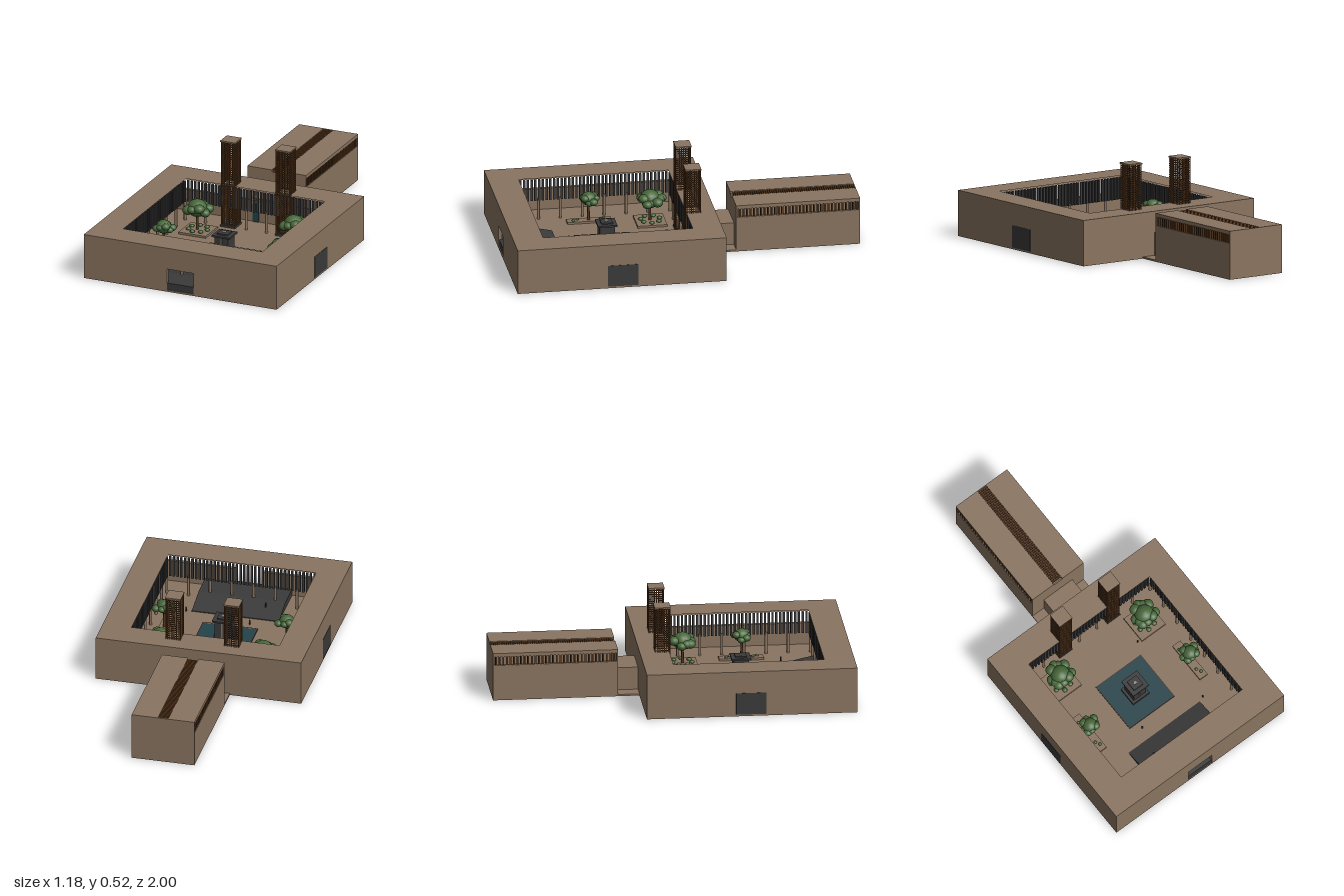
import * as THREE from 'three';
import { mergeGeometries } from 'three/addons/utils/BufferGeometryUtils.js';

const mat = (name, color) => {
  const m = new THREE.MeshStandardMaterial({ color });
  m.name = name;
  return m;
};

export function createModel() {
  const root = new THREE.Group();
  const M = {
    clay: mat('clay brown', 0x8a7460),
    dark: mat('charcoal', 0x3a3a3a),
    bronze: mat('dark bronze', 0x5c3a1e),
    water: mat('deep teal', 0x24434a),
    leaf: mat('leaf green', 0x47683a),
    trunk: mat('bark', 0x4f3822),
    stone: mat('pale grey', 0x8c8c8c),
  };

  // Box given by its lower and upper limits
  const slab = (x0, x1, y0, y1, z0, z1) =>
    new THREE.BoxGeometry(x1 - x0, y1 - y0, z1 - z0).translate((x0 + x1) / 2, (y0 + y1) / 2, (z0 + z1) / 2);
  const add = (name, material, ...geos) => {
    const mesh = new THREE.Mesh(geos.length > 1 ? mergeGeometries(geos) : geos[0], material);
    mesh.name = name;
    root.add(mesh);
    return mesh;
  };
  // Square ring seen from above, given by outer and inner limits
  const rect = (C, x0, x1, z0, z1) => new C([[x0, z0], [x1, z0], [x1, z1], [x0, z1]].map(([x, z]) => new THREE.Vector2(x, -z)));
  const ring = (outer, inner, y0, y1) => {
    const s = rect(THREE.Shape, ...outer);
    s.holes.push(rect(THREE.Path, ...inner));
    return new THREE.ExtrudeGeometry(s, { depth: y1 - y0, bevelEnabled: false }).rotateX(-Math.PI / 2).translate(0, y0, 0);
  };

  // Main block: floor, upper storey and roof around the court
  const OUT = [-0.59, 0.59, -0.18, 1];
  add('floor', M.clay, slab(-0.59, 0.59, 0, 0.01, -0.18, 1));
  add('upperStorey', M.clay, ring(OUT, [-0.437, 0.437, -0.027, 0.842], 0.135, 0.25));
  add('roof', M.clay, ring(OUT, [-0.425, 0.425, -0.015, 0.83], 0.25, 0.26));

  // Lower outer walls, open at the front entrance
  add('outerWalls', M.clay,
    slab(-0.59, 0.59, 0.01, 0.135, -0.18, -0.16),
    slab(-0.59, -0.57, 0.01, 0.135, -0.16, 0.98),
    slab(0.57, 0.59, 0.01, 0.135, -0.16, 0.98),
    slab(-0.59, -0.082, 0.01, 0.135, 0.98, 1),
    slab(0.082, 0.59, 0.01, 0.135, 0.98, 1));
  add('sideDoors', M.dark,
    slab(-0.592, -0.585, 0.01, 0.135, 0.32, 0.49),
    slab(0.585, 0.592, 0.01, 0.135, 0.32, 0.49));
  add('tealPanel', M.water, slab(-0.08, -0.045, 0.01, 0.115, -0.16, -0.153));

  // Entrance platform and the ramp down into the court
  add('entrancePlatform', M.dark, slab(-0.25, 0.25, 0.01, 0.05, 0.83, 0.978), slab(-0.082, 0.082, 0.01, 0.05, 0.978, 0.995));
  const side = new THREE.Shape([[-0.67, 0.01], [-0.83, 0.01], [-0.83, 0.05], [-0.67, 0.014]].map(p => new THREE.Vector2(...p)));
  add('ramp', M.dark, new THREE.ExtrudeGeometry(side, { depth: 0.5, bevelEnabled: false }).rotateY(Math.PI / 2).translate(-0.25, 0, 0));

  // Vertical screen fins and colonnade along the court edge
  const fins = [], columns = [];
  for (let i = 0; i < 40; i++) {
    const x = -0.425 + (i + 0.5) * 0.85 / 40, z = -0.015 + (i + 0.5) * 0.845 / 40;
    for (const s of [-0.021, 0.836]) fins.push(slab(x - 0.006, x + 0.006, 0.125, 0.25, s - 0.006, s + 0.006));
    for (const s of [-0.431, 0.431]) fins.push(slab(s - 0.006, s + 0.006, 0.125, 0.25, z - 0.006, z + 0.006));
  }
  const column = (x, z) => columns.push(new THREE.CylinderGeometry(0.008, 0.008, 0.125, 10).translate(x, 0.0725, z));
  for (let i = 0; i <= 7; i++) {
    const x = -0.436 + i * 0.872 / 7, z = -0.026 + i * 0.867 / 7;
    column(x, -0.026); column(x, 0.841);
    if (i > 0 && i < 7) { column(-0.436, z); column(0.436, z); }
  }
  add('screenFins', M.dark, ...fins);
  add('columns', M.clay, ...columns);

  // Pool with rim and central fountain tower
  add('water', M.water, slab(-0.155, 0.155, 0.01, 0.013, 0.255, 0.555));
  add('poolRim', M.dark, ring([-0.158, 0.158, 0.25, 0.56], [-0.152, 0.152, 0.256, 0.554], 0.01, 0.016));
  add('fountain', M.dark,
    slab(-0.057, 0.057, 0.01, 0.03, 0.348, 0.462),
    slab(-0.042, 0.042, 0.03, 0.14, 0.363, 0.447),
    slab(-0.055, 0.055, 0.14, 0.15, 0.35, 0.46),
    slab(-0.032, 0.032, 0.15, 0.158, 0.373, 0.437));
  add('fountainSpout', M.stone, slab(-0.009, 0.009, 0.156, 0.161, 0.397, 0.413));
  add('fountainStripe', M.clay, slab(-0.004, 0.004, 0.03, 0.14, 0.36, 0.45));

  // Lattice wind towers
  for (const s of [-1, 1]) {
    const cx = 0.168 * s, cz = -0.053, h = 0.041, b = 0.0017, bars = [];
    for (let i = 0; i <= 8; i++) {
      const t = -h + i * h / 4;
      for (const e of [-h, h]) {
        bars.push(slab(cx + t - b, cx + t + b, 0.01, 0.515, cz + e - b, cz + e + b));
        if (i > 0 && i < 8) bars.push(slab(cx + e - b, cx + e + b, 0.01, 0.515, cz + t - b, cz + t + b));
      }
    }
    for (let y = 0.02; y < 0.515; y += 0.0125) {
      for (const e of [-h, h]) {
        bars.push(slab(cx - h, cx + h, y - b, y + b, cz + e - b, cz + e + b));
        bars.push(slab(cx + e - b, cx + e + b, y - b, y + b, cz - h, cz + h));
      }
    }
    add('towerLattice', M.bronze, ...bars);
    add('towerCap', M.clay, slab(cx - 0.045, cx + 0.045, 0.516, 0.524, cz - 0.045, cz + 0.045));
    add('towerBase', M.dark, slab(cx - 0.045, cx + 0.045, 0.01, 0.022, cz - 0.045, cz + 0.045));
  }

  // Planting beds, trees and low shrubs
  const ball = (x, y, z, r, flat = 0.8) => new THREE.SphereGeometry(r, 14, 10).scale(1, flat, 1).translate(x, y, z);
  const tree = (x, z, r, n, sx, sz) => {
    const blobs = [ball(x, 0.15, z, r * 0.72, 0.9)];
    for (let i = 0; i < n; i++) {
      const a = i * 2.4, d = r * (0.6 + 0.12 * (i % 3));
      blobs.push(ball(x + Math.cos(a) * d * sx, 0.135 + 0.008 * (i % 4), z + Math.sin(a) * d * sz, r * (0.36 + 0.05 * (i % 2))));
    }
    add('treeCrown', M.leaf, ...blobs);
    add('treeTrunk', M.trunk, new THREE.CylinderGeometry(0.006, 0.009, 0.12, 8).translate(x, 0.07, z));
  };
  for (const s of [-1, 1]) {
    add('backBed', M.clay, slab(0.295 * s - 0.083, 0.295 * s + 0.083, 0.01, 0.022, 0.025, 0.192));
    add('sideBed', M.clay, slab(0.355 * s - 0.027, 0.355 * s + 0.027, 0.01, 0.022, 0.32, 0.57));
    tree(s < 0 ? -0.3 : 0.29, 0.11, 0.078, 11, 0.95, 1);
    tree(0.352 * s, 0.448, 0.06, 8, 1, 0.8);
    const shrubs = [];
    for (let i = 0; i < 7; i++) {
      const a = i * 2 * Math.PI / 7;
      shrubs.push(ball(0.295 * s + Math.cos(a) * 0.055, 0.027, 0.108 + Math.sin(a) * 0.055, 0.014, 0.7));
    }
    for (const [x, z] of [[-0.01, 0.36], [0.01, 0.38], [-0.006, 0.51], [0.008, 0.535]])
      shrubs.push(ball(0.355 * s + x, 0.026, z, 0.009, 0.8));
    add('shrubs', M.leaf, ...shrubs);
  }

  // Tiny standing figures for scale
  for (const [x, z] of [[0.19, 0.18], [-0.1, 0.6], [0.28, 0.66], [-0.15, 0.77]])
    add('figure', M.dark, new THREE.CapsuleGeometry(0.004, 0.024, 3, 8).translate(x, z > 0.7 ? 0.05 : 0.026, z));

  // Link between the court and the rear hall
  add('linkFloor', M.clay, slab(-0.18, 0.18, 0, 0.01, -0.3, -0.18));
  add('linkPassage', M.clay, slab(-0.1, 0.1, 0.01, 0.14, -0.3, -0.18));

  // Rear hall with clerestory fins and a slotted roof light
  add('hallFloor', M.clay, slab(-0.18, 0.18, 0, 0.01, -1, -0.3));
  add('hallWalls', M.clay,
    slab(-0.18, -0.16, 0.01, 0.205, -1, -0.3), slab(0.16, 0.18, 0.01, 0.205, -1, -0.3),
    slab(-0.18, 0.18, 0.01, 0.255, -1, -0.992), slab(-0.18, 0.18, 0.01, 0.255, -0.308, -0.3));
  add('hallRoof', M.clay,
    slab(-0.18, -0.03, 0.255, 0.275, -1, -0.3), slab(0.03, 0.18, 0.255, 0.275, -1, -0.3),
    slab(-0.03, 0.03, 0.255, 0.275, -1, -0.995), slab(-0.03, 0.03, 0.255, 0.262, -0.308, -0.3));
  const louvers = [], clerestory = [];
  for (let i = 0; i < 56; i++) {
    const z = -0.988 + i * 0.0122;
    louvers.push(slab(-0.03, 0.03, 0.262, 0.273, z - 0.004, z + 0.004));
  }
  for (let i = 0; i < 34; i++) {
    const z = -0.982 + i * 0.02;
    for (const s of [-0.169, 0.169]) clerestory.push(slab(s - 0.009, s + 0.009, 0.205, 0.255, z - 0.0045, z + 0.0045));
  }
  add('roofLouvers', M.bronze, ...louvers);
  add('clerestoryFins', M.bronze, ...clerestory);
  add('hallPlinth', M.dark, slab(-0.026, 0.026, 0.01, 0.06, -0.912, -0.885));
  return root;
}
